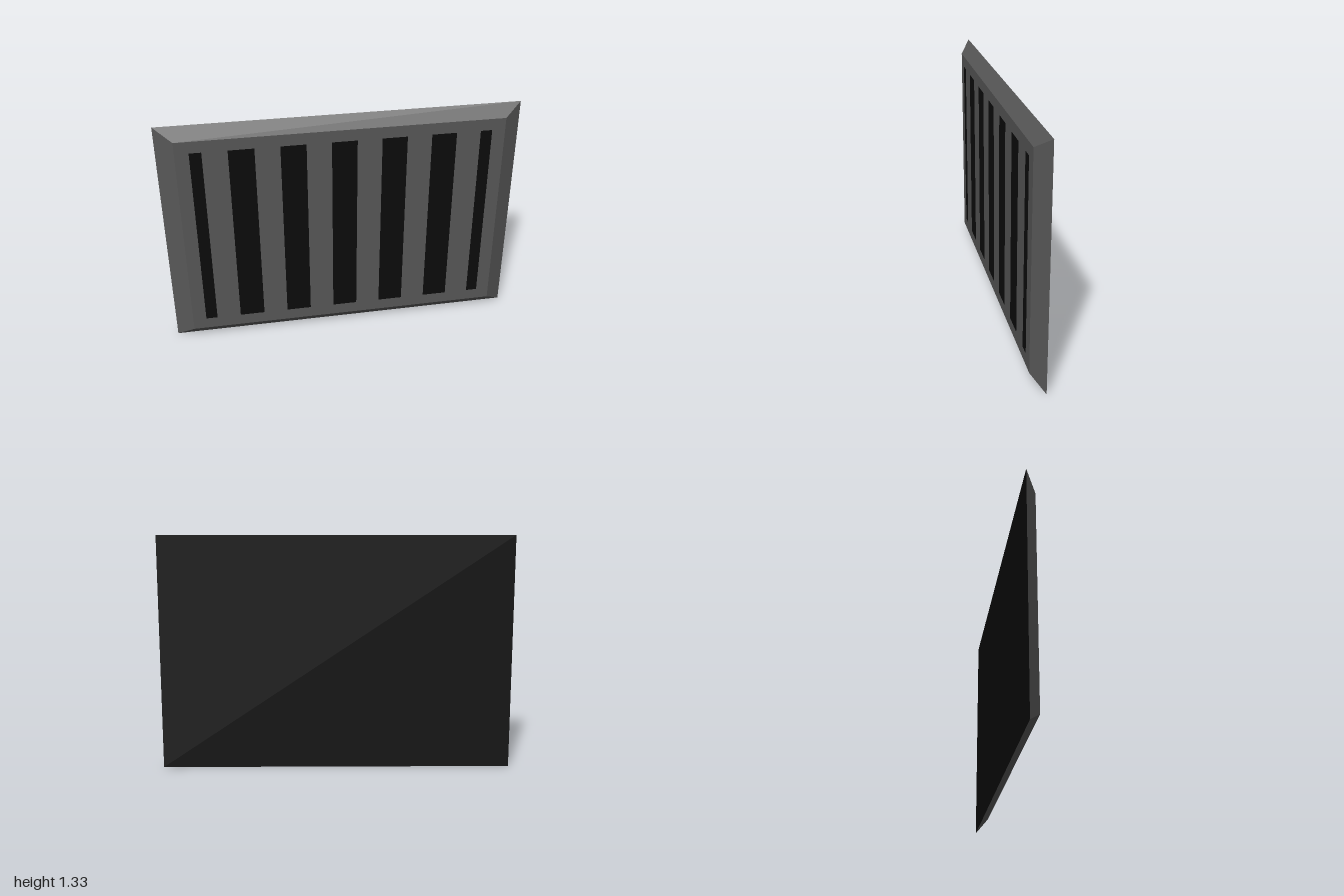
import * as THREE from 'three';

const HEIGHT = 1.333, FRONT = 0.032, BACK = -0.032;
const BEVEL_X = 0.1, BEVEL_Y = 0.067;
const SLOT_BOTTOM = 0.133, SLOT_TOP = 1.2;

// Corners of a rectangle, counter-clockwise seen from the front
function corners(x0, y0, x1, y1) {
  return [[x0, y0], [x1, y0], [x1, y1], [x0, y1]].map(([x, y]) => new THREE.Vector2(x, y));
}

export function createModel() {
  const group = new THREE.Group();
  const metal = new THREE.MeshStandardMaterial({ color: 0x575757 });
  const dark = new THREE.MeshStandardMaterial({ color: 0x0b0b0b });

  function add(name, geometry, material, z = 0) {
    const mesh = new THREE.Mesh(geometry, material);
    mesh.name = name;
    mesh.position.z = z;
    group.add(mesh);
    return mesh;
  }

  const outer = corners(-1, 0, 1, HEIGHT);
  const inner = corners(-1 + BEVEL_X, BEVEL_Y, 1 - BEVEL_X, HEIGHT - BEVEL_Y);

  // Slots: five wide ones and a narrow one at each end
  const slots = [[-0.825, -0.76]];
  for (let i = -2; i <= 2; i++) slots.push([i * 0.277 - 0.07, i * 0.277 + 0.07]);
  slots.push([0.76, 0.825]);

  // Front plate with slot openings, each filled by a flush dark panel
  const plate = new THREE.Shape(inner);
  slots.forEach(([x0, x1], i) => {
    const outline = corners(x0, SLOT_BOTTOM, x1, SLOT_TOP);
    plate.holes.push(new THREE.Path(outline.slice().reverse()));
    add('slot' + (i + 1), new THREE.ShapeGeometry(new THREE.Shape(outline)), dark, FRONT);
  });
  add('frontPlate', new THREE.ShapeGeometry(plate), metal, FRONT);

  // Sloping border from the back edge up to the front plate
  const names = ['bottomBevel', 'leftBevel', 'topBevel', 'rightBevel'];
  names.forEach((name, i) => {
    const j = (i + 1) % 4;
    const a = outer[i], b = outer[j], c = inner[j], d = inner[i];
    const geometry = new THREE.BufferGeometry();
    geometry.setAttribute('position', new THREE.Float32BufferAttribute([
      a.x, a.y, BACK, b.x, b.y, BACK, c.x, c.y, FRONT, d.x, d.y, FRONT,
    ], 3));
    geometry.setIndex([0, 1, 2, 0, 2, 3]);
    geometry.computeVertexNormals();
    add(name, geometry, metal);
  });

  // Dark back panel
  const back = add('backPanel', new THREE.PlaneGeometry(2, HEIGHT), dark, BACK);
  back.position.y = HEIGHT / 2;
  back.rotation.y = Math.PI;

  return group;
}
